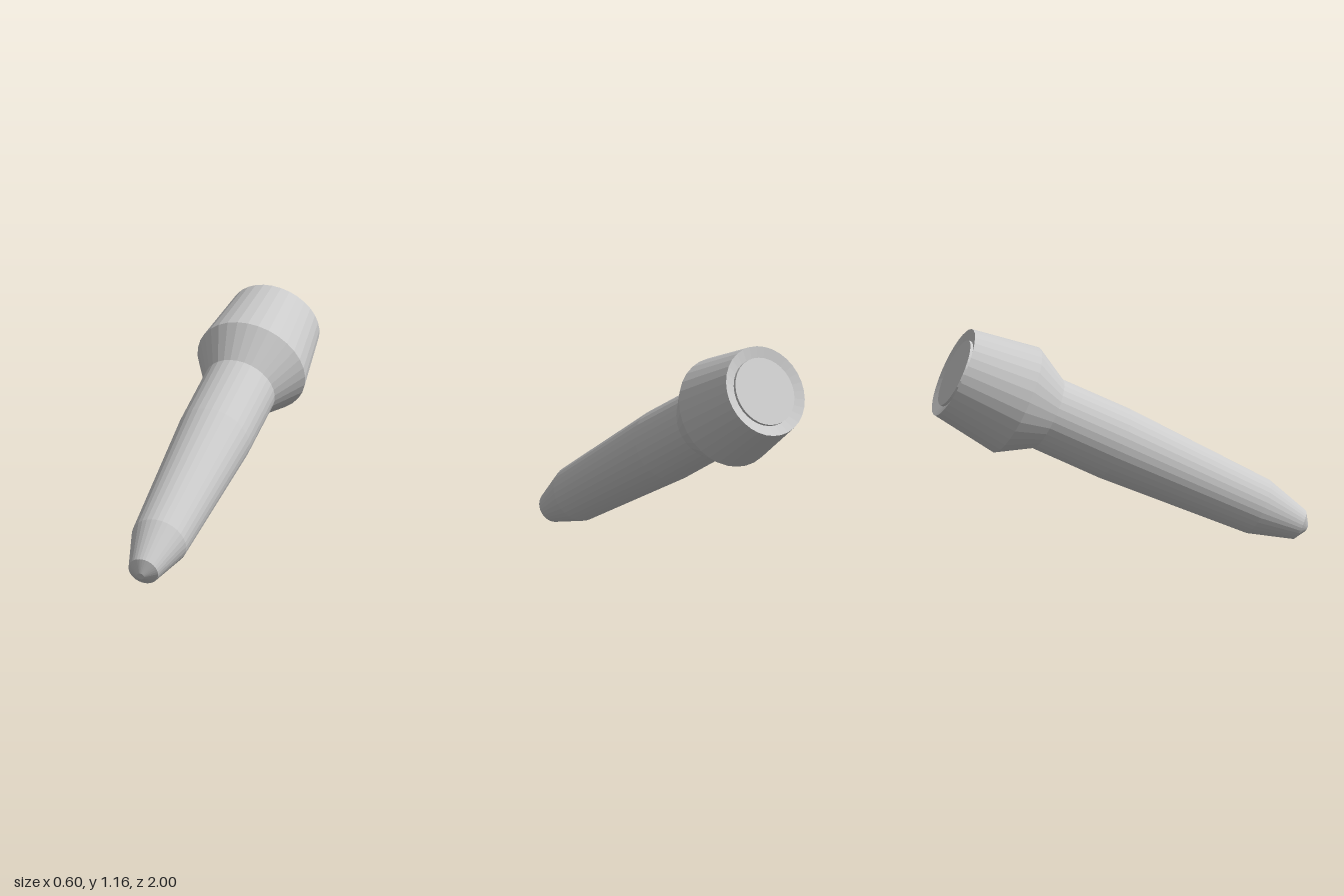
import * as THREE from 'three';

const SIDES = 32;
const material = new THREE.MeshStandardMaterial({ color: 0xcccccc, flatShading: true });

// Turned part: [radius, distance along the axis] from tip to rear
function turned(name, profile) {
  const points = profile.map(([r, d]) => new THREE.Vector2(r, d));
  const mesh = new THREE.Mesh(new THREE.LatheGeometry(points, SIDES), material);
  mesh.name = name;
  return mesh;
}

export function createModel() {
  const model = new THREE.Group();
  model.name = 'taperedHandle';

  // Blunt conical point with a tiny flat end
  model.add(turned('tip', [[0, -0.043], [0.02, -0.043], [0.083, 0]]));

  // Nose taper and long shaft, widest at the middle
  model.add(turned('shaft', [[0.083, 0], [0.153, 0.244], [0.199, 1.097], [0.198, 1.494]]));

  // Flared collar and head, with a slightly dished rear rim
  model.add(turned('head', [[0.198, 1.494], [0.302, 1.679], [0.248, 2.05], [0.187, 2.03]]));

  // Round cap standing in the dished rear
  model.add(turned('endCap', [[0.187, 2.03], [0.186, 2.045], [0, 2.045]]));

  // Lean the axis up, back and slightly to the right
  const axis = new THREE.Vector3(-0.0935, 0.4676, -1).normalize();
  model.quaternion.setFromUnitVectors(new THREE.Vector3(0, 1, 0), axis);
  model.position.set(0.14, 0.077, 0.955);

  const root = new THREE.Group();
  root.add(model);
  return root;
}
